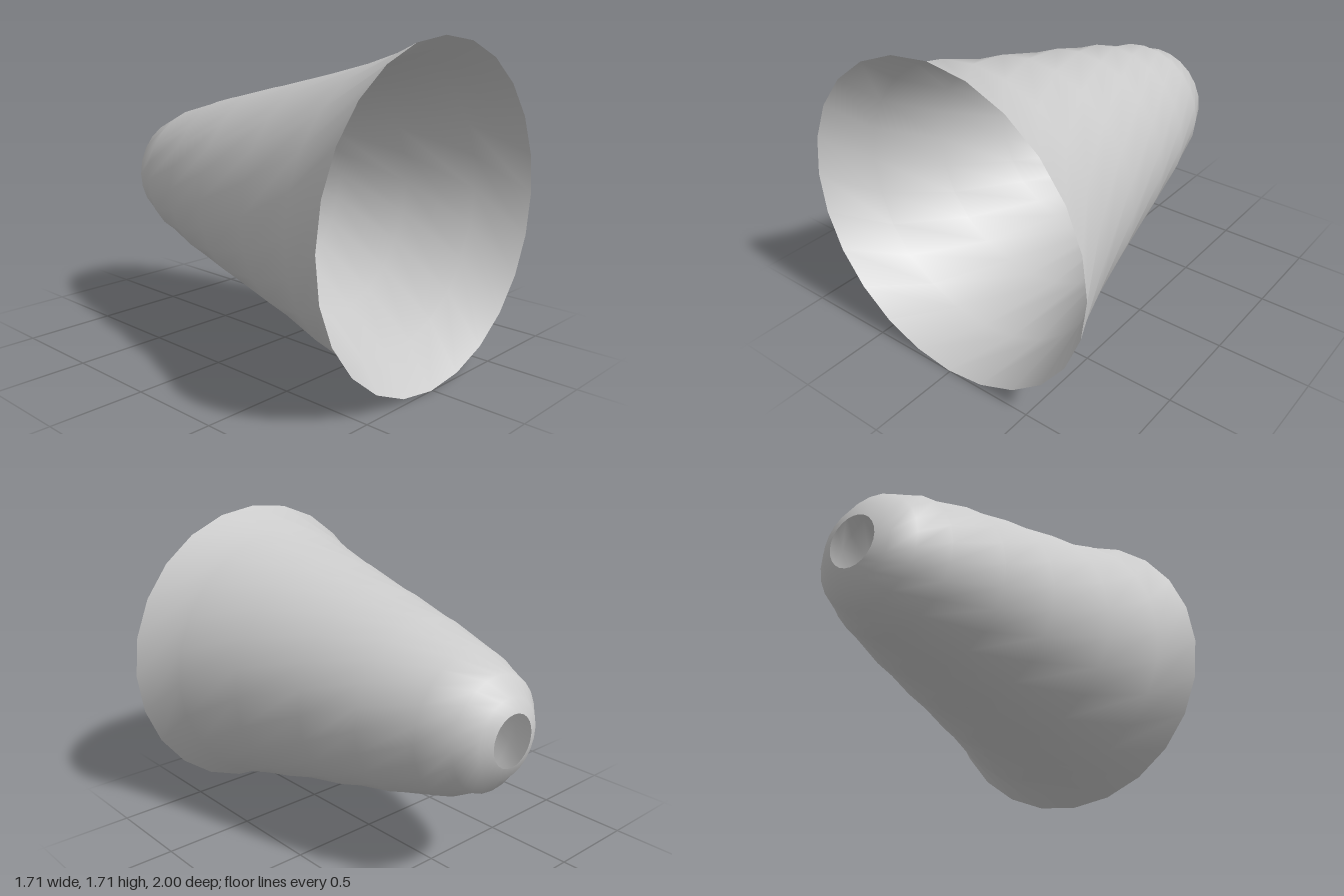
import * as THREE from 'three';
import { mergeVertices } from 'three/addons/utils/BufferGeometryUtils.js';

const SIDES = 24;
const CENTRE_Y = 0.853;

// [radius, z] of each ring, from the small rear hole to the wide front rim
const PROFILE = [
  [0.136, -1], [0.205, -0.97], [0.298, -0.89], [0.375, -0.72],
  [0.465, -0.41], [0.545, -0.08], [0.642, 0.33], [0.746, 0.72], [0.853, 1],
];

export function createModel() {
  const group = new THREE.Group();

  // Open bell-shaped shell, lathed and laid along z
  let geometry = new THREE.LatheGeometry(PROFILE.map(([r, z]) => new THREE.Vector2(r, z)), SIDES);
  geometry.rotateX(Math.PI / 2);

  // Turn each ring one side further than the last, so the facets spiral
  const pos = geometry.attributes.position;
  const axis = new THREE.Vector3(0, 0, 1);
  const step = (Math.PI * 2) / SIDES;
  const p = new THREE.Vector3();
  for (let i = 0; i < pos.count; i++) {
    const ring = i % PROFILE.length;
    p.fromBufferAttribute(pos, i).applyAxisAngle(axis, -ring * step - 0.012);
    pos.setXYZ(i, p.x, p.y + CENTRE_Y, p.z);
  }

  // Weld the seam and shade smoothly
  geometry.deleteAttribute('uv');
  geometry.deleteAttribute('normal');
  geometry = mergeVertices(geometry, 1e-4);
  geometry.computeVertexNormals();

  const shell = new THREE.Mesh(
    geometry,
    new THREE.MeshStandardMaterial({ color: 0xcccccc, side: THREE.DoubleSide })
  );
  shell.name = 'taperedShell';
  group.add(shell);
  return group;
}
